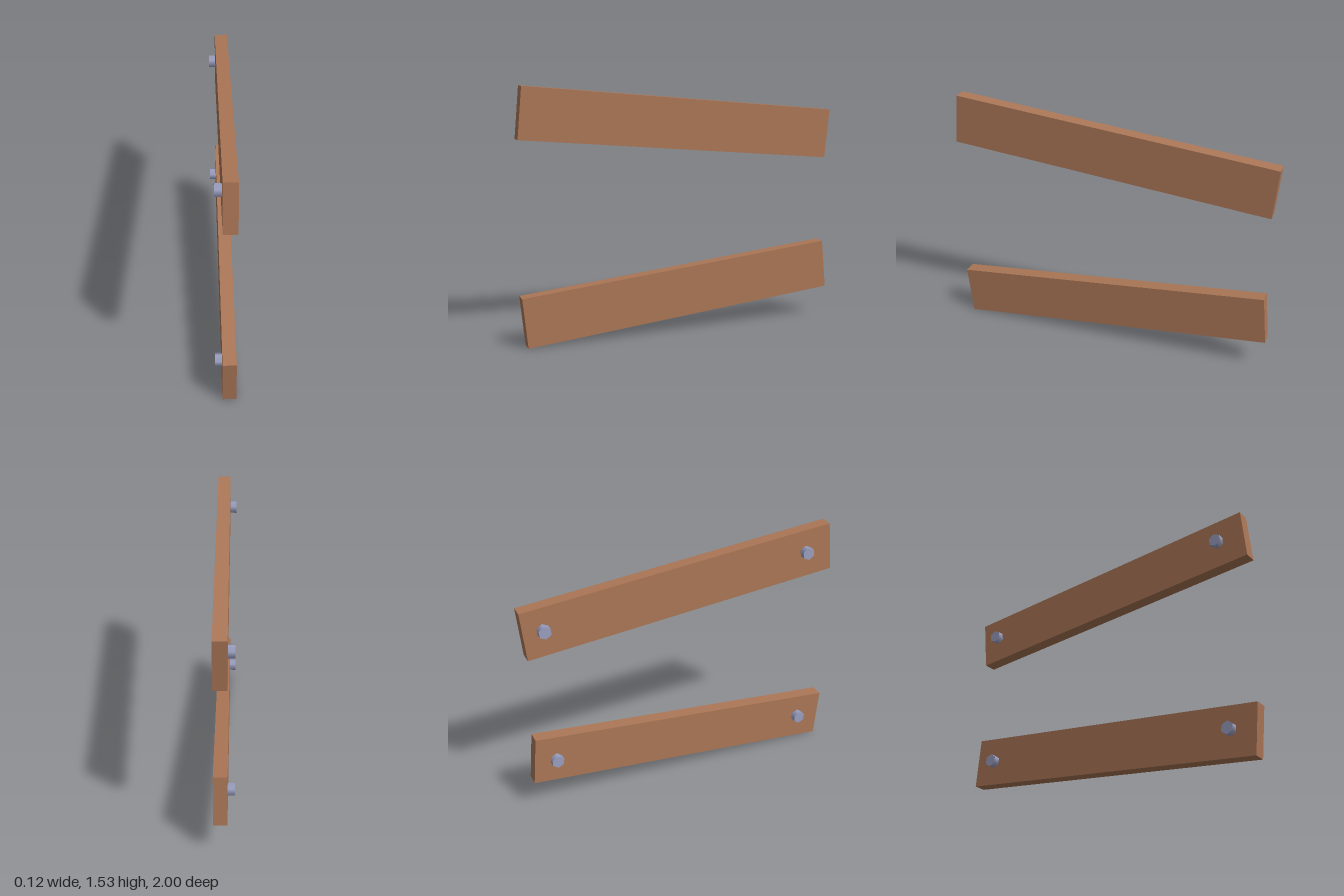
import * as THREE from 'three';

export function createModel() {
  const wood = new THREE.MeshStandardMaterial({ color: 0xac7757 });
  wood.name = 'wood';
  const steel = new THREE.MeshStandardMaterial({ color: 0x9a9fc0 });
  steel.name = 'steel';

  const model = new THREE.Group();
  model.name = 'railPair';

  // Hexagonal peg lying along x, points up and down
  const pegGeometry = new THREE.CylinderGeometry(0.04, 0.04, 0.04, 6);
  pegGeometry.rotateY(Math.PI / 2).rotateZ(Math.PI / 2);

  // Each rail: centre height, tilt about x, and peg centres as [y, z]
  const rails = [
    { name: 'upperRail', y: 1.286, tilt: -0.095, pegs: [[1.374, 0.813], [1.216, -0.87]] },
    { name: 'lowerRail', y: 0.249, tilt: 0.097, pegs: [[0.179, 0.827], [0.331, -0.852]] },
  ];

  for (const { name, y, tilt, pegs } of rails) {
    const rail = new THREE.Group();
    rail.name = name;

    // Tilted plank
    const plank = new THREE.Mesh(new THREE.BoxGeometry(0.08, 0.304, 1.98), wood);
    plank.name = 'plank';
    plank.position.set(0.02, y, 0);
    plank.rotation.x = tilt;
    rail.add(plank);

    // Pegs on the -x face
    for (const [pegY, pegZ] of pegs) {
      const peg = new THREE.Mesh(pegGeometry, steel);
      peg.name = 'peg';
      peg.position.set(-0.04, pegY, pegZ);
      peg.rotation.x = tilt;
      rail.add(peg);
    }
    model.add(rail);
  }
  return model;
}
